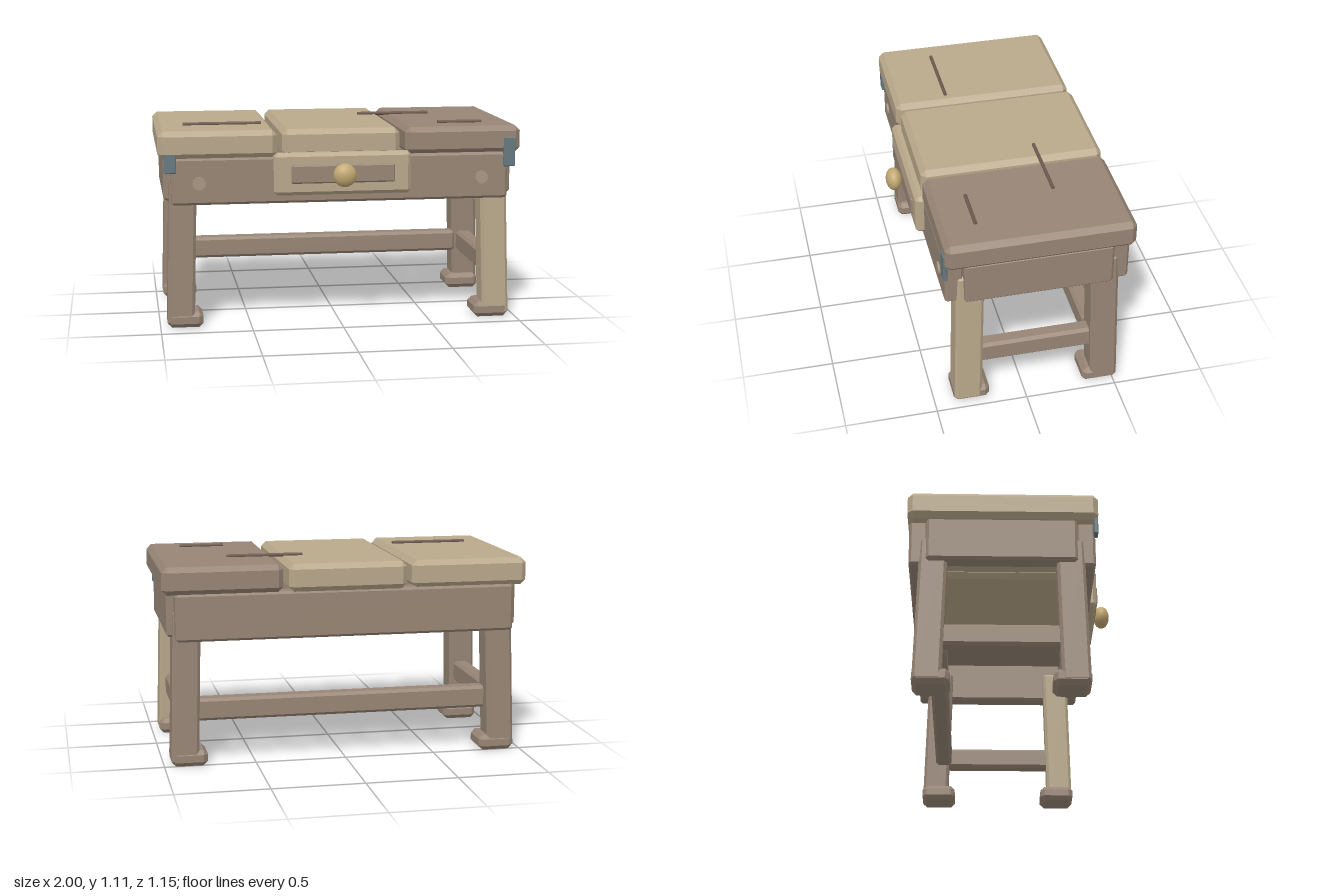
import * as THREE from 'three';
import { ConvexGeometry } from 'three/addons/geometries/ConvexGeometry.js';

function material(name, color) {
  const m = new THREE.MeshStandardMaterial({ color });
  m.name = name;
  return m;
}

// Box with flat chamfered edges, given by its [min, max] range on each axis.
// The optional bend rule moves each corner point.
function chamferBox([x0, x1], [y0, y1], [z0, z1], c, bend) {
  const centre = new THREE.Vector3(x0 + x1, y0 + y1, z0 + z1).multiplyScalar(0.5);
  const half = new THREE.Vector3(x1 - x0, y1 - y0, z1 - z0).multiplyScalar(0.5);
  const points = [];
  for (const sx of [-1, 1]) for (const sy of [-1, 1]) for (const sz of [-1, 1]) {
    for (const full of ['x', 'y', 'z']) {
      const p = new THREE.Vector3(half.x - c, half.y - c, half.z - c);
      p[full] = half[full];
      p.multiply(new THREE.Vector3(sx, sy, sz)).add(centre);
      if (bend) bend(p);
      points.push(p);
    }
  }
  return new ConvexGeometry(points);
}

export function createModel() {
  const table = new THREE.Group();
  table.name = 'table';

  const light = material('light wood', 0xb9a88b);
  const dark = material('dark wood', 0x978575);
  const pegWood = material('peg wood', 0xa89682);
  const iron = material('blue iron', 0x66797f);
  const brass = material('brass', 0xc2a872);
  const crack = material('dark strip', 0x6e5b50);

  const add = (name, geometry, mat, parent = table) => {
    const mesh = new THREE.Mesh(geometry, mat);
    mesh.name = name;
    parent.add(mesh);
    return mesh;
  };
  const midZ = -0.065; // middle of the frame, front to back

  // Three top planks
  add('leftEndPlank', chamferBox([-1, -0.355], [0.945, 1.095], [-0.568, 0.445], 0.028), light);
  add('middlePlank', chamferBox([-0.326, 0.322], [0.945, 1.095], [-0.577, 0.43], 0.028), light);
  add('rightEndPlank', chamferBox([0.352, 1], [0.945, 1.095], [-0.572, 0.436], 0.028), dark);

  // Thin strips lying on the planks: start x, end x, z
  for (const [a, b, z] of [[-0.85, -0.415, 0.148], [0.19, 0.61, -0.222], [0.57, 0.82, 0.243]]) {
    const strip = add('topStrip', new THREE.CylinderGeometry(0.01, 0.01, b - a, 8), crack);
    strip.rotation.z = Math.PI / 2;
    strip.position.set((a + b) / 2, 1.1, z);
  }

  // Aprons
  add('frontApron', chamferBox([-0.93, 0.93], [0.692, 0.95], [0.33, 0.43], 0.014), dark);
  add('backApron', chamferBox([-0.93, 0.93], [0.692, 0.95], [-0.557, -0.457], 0.014), dark);
  for (const s of [-1, 1]) {
    const range = s > 0 ? [0.87, 0.97] : [-0.97, -0.87];
    add('sideApron', chamferBox(range, [0.705, 0.95], [-0.465, 0.333], 0.014), dark);
  }

  // Splayed legs with block feet
  for (const sx of [-1, 1]) for (const sz of [-1, 1]) {
    const leg = new THREE.Group();
    leg.name = (sz > 0 ? 'front' : 'back') + (sx > 0 ? 'Left' : 'Right') + 'Leg';
    const splay = (p) => {
      const t = p.y / 0.85;
      p.x += sx * (0.888 - 0.025 * t);
      p.z += midZ + sz * (0.382 - 0.022 * t);
    };
    const half = [-0.075, 0.075];
    add('post', chamferBox(half, [0.015, 0.85], half, 0.016, splay), sx > 0 && sz > 0 ? light : dark, leg);
    const block = (p) => {
      p.x += sx * 0.862;
      p.z += midZ + sz * 0.361;
    };
    add('foot', chamferBox([-0.098, 0.098], [0, 0.087], [-0.098, 0.098], 0.024, block), dark, leg);
    table.add(leg);
  }

  // Stretchers between the legs: both sides and the back
  for (const s of [-1, 1]) {
    const range = s > 0 ? [0.83, 0.92] : [-0.92, -0.83];
    add('sideStretcher', chamferBox(range, [0.232, 0.352], [-0.39, 0.26], 0.016), dark);
  }
  add('backStretcher', chamferBox([-0.82, 0.82], [0.232, 0.355], [-0.445, -0.35], 0.016), dark);

  // Drawer with inset panel and knob
  const drawer = new THREE.Group();
  drawer.name = 'drawer';
  table.add(drawer);
  add('drawerFront', chamferBox([-0.378, 0.378], [0.74, 0.972], [0.405, 0.476], 0.02), light, drawer);
  add('drawerPanel', chamferBox([-0.285, 0.285], [0.806, 0.908], [0.455, 0.488], 0.008), dark, drawer);
  const knob = add('knob', new THREE.SphereGeometry(1, 24, 16), brass, drawer);
  knob.scale.set(0.064, 0.064, 0.045);
  knob.position.set(0, 0.855, 0.531);

  // Corner brackets and wooden pegs on the front
  for (const s of [-1, 1]) {
    const range = s > 0 ? [0.903, 0.968] : [-0.968, -0.903];
    add('cornerBracket', chamferBox(range, [0.87, 1.032], [0.422, 0.444], 0.004), iron);
    const peg = add('peg', new THREE.CylinderGeometry(0.036, 0.036, 0.03, 12), pegWood);
    peg.rotation.x = Math.PI / 2;
    peg.position.set(s * 0.78, 0.812, 0.426);
  }

  return table;
}
